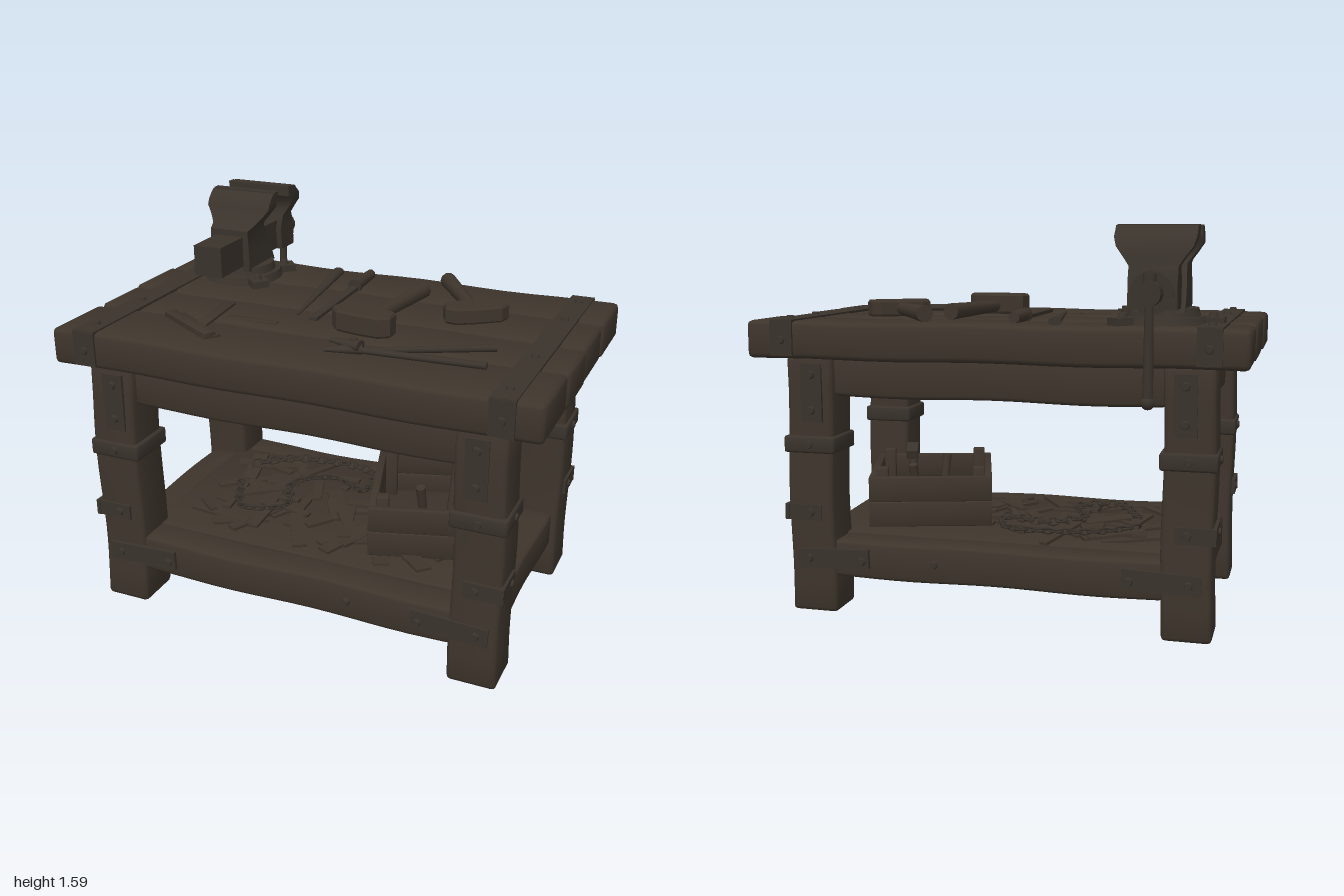
import * as THREE from 'three';
import { toCreasedNormals } from 'three/addons/utils/BufferGeometryUtils.js';

const wood = new THREE.MeshStandardMaterial({ color: 0x3e352c });
const iron = new THREE.MeshStandardMaterial({ color: 0x3a332c });
wood.name = 'dark wood';
iron.name = 'dark iron';

const TOP = 1.213, SHELF = 0.315, MID = 0.1;

// Chamfered, slightly uneven timber; the long axis gets extra segments
function timberGeometry(size, r, wobble, phase) {
  const long = size.indexOf(Math.max(...size));
  const n = size.map((s, i) => (i === long && wobble ? 16 : 3));
  const g = new THREE.BoxGeometry(...size, ...n);
  const p = g.attributes.position;
  for (let v = 0; v < p.count; v++) {
    const a = [p.getX(v), p.getY(v), p.getZ(v)];
    const off = a.map((c, i) => {
      const h = size[i] / 2, row = Math.round((c / size[i] + 0.5) * n[i]);
      if (row === 1) a[i] = r - h;
      else if (row === n[i] - 1) a[i] = h - r;
      else a[i] = THREE.MathUtils.clamp(c, r - h, h - r);
      return row === 0 ? -r : row === n[i] ? r : 0;
    });
    const len = Math.hypot(...off) || 1;
    off.forEach((o, i) => { a[i] += (o * r) / len; });
    const t = a[long];
    a.forEach((c, i) => {
      if (i !== long) a[i] += wobble * Math.sin(t * 8 + phase + i * 2 + Math.sign(c) * 1.3) * Math.sign(c);
    });
    p.setXYZ(v, ...a);
  }
  return toCreasedNormals(g, 0.9);
}

export function createModel() {
  const root = new THREE.Group();
  root.name = 'workbench';
  let seed = 7;
  const rand = () => (seed = (seed * 16807) % 2147483647) / 2147483647;

  const add = (name, geo, mat, pos, parent = root) => {
    const m = new THREE.Mesh(geo, mat);
    m.name = name;
    m.position.set(...pos);
    parent.add(m);
    return m;
  };
  const timber = (name, size, pos, r = 0.015, wobble = 0.004, parent = root) =>
    add(name, timberGeometry(size, r, wobble, pos[0] * 3 + pos[2] * 7), wood, pos, parent);
  const plate = (name, size, pos, parent = root) => add(name, new THREE.BoxGeometry(...size), iron, pos, parent);
  // Bolt head standing on a surface point, facing along a direction
  const UP = new THREE.Vector3(0, 1, 0);
  const boltGeo = new THREE.CylinderGeometry(0.014, 0.021, 0.022, 8);
  const bolt = (pos, dir = [0, 1, 0]) =>
    add('bolt', boltGeo, iron, pos).quaternion.setFromUnitVectors(UP, new THREE.Vector3(...dir));
  // Group lying on a surface, its local x running from a to b (x, z pairs)
  const along = (name, a, b, y) => {
    const g = new THREE.Group();
    g.name = name;
    g.position.set((a[0] + b[0]) / 2, y, (a[1] + b[1]) / 2);
    g.rotation.y = Math.atan2(a[1] - b[1], b[0] - a[0]);
    g.userData.length = Math.hypot(b[0] - a[0], b[1] - a[1]);
    root.add(g);
    return g;
  };

  // Table top planks
  [[-0.514, -0.218], [-0.212, 0.077], [0.085, 0.348], [0.356, 0.676]].forEach(([a, b], i) =>
    timber('topPlank', [1.99, 0.15, b - a], [i % 2 ? -0.003 : 0.003, 1.138, (a + b) / 2], 0.02, 0.003));

  for (const sx of [-1, 1]) {
    // Iron strap folded over each end of the top
    plate('topStrap', [0.095, 0.012, 1.2], [sx * 0.845, TOP + 0.002, 0.081]);
    for (const s of [-1, 1]) {
      plate('topStrapEnd', [0.095, 0.14, 0.012], [sx * 0.845, 1.147, 0.081 + s * 0.599]);
      bolt([sx * 0.845, 1.14, 0.081 + s * 0.604], [0, 0, s]);
    }
    for (const z of [-0.43, -0.19, 0.26, 0.59]) bolt([sx * 0.845, TOP + 0.009, z]);

    // Side rails
    timber('sideApron', [0.12, 0.165, 0.72], [sx * 0.77, 0.98, MID]);
    timber('sideStretcher', [0.13, 0.15, 0.72], [sx * 0.77, 0.235, MID]);

    for (const sz of [-1, 1]) {
      const x = sx * 0.77, z = MID + sz * 0.442, out = z + sz * 0.1, ox = x + sx * 0.103;
      timber('leg', [0.197, 1.07, 0.197], [x, 0.535, z], 0.018, 0.004);
      // Full band and corner bracket
      timber('legBand', [0.221, 0.07, 0.221], [x, 0.707, z], 0.01, 0).material = iron;
      plate('legBracketFront', [0.16, 0.065, 0.016], [x + sx * 0.032, 0.425, out]);
      plate('legBracketSide', [0.016, 0.065, 0.16], [ox, 0.425, z + sz * 0.032]);
      for (const y of [0.707, 0.425]) {
        bolt([x, y, out + sz * 0.009], [0, 0, sz]);
        bolt([ox + sx * 0.006, y, z], [sx, 0, 0]);
      }
      // Upright plate below the top
      plate('legTopPlate', [0.09, 0.24, 0.016], [sx * 0.755, 0.92, out]);
      for (const y of [0.85, 0.995]) bolt([sx * 0.755, y, out + sz * 0.009], [0, 0, sz]);
      // Plate joining leg and stretcher
      plate('stretcherPlate', [0.31, 0.08, 0.016], [sx * 0.675, 0.235, out]).rotation.z = sx * -0.04;
      for (const bx of [0.55, 0.78]) bolt([sx * bx, 0.232, out + sz * 0.009], [0, 0, sz]);
    }
  }

  // Long rails front and back
  for (const sz of [-1, 1]) {
    timber('longApron', [1.36, 0.165, 0.12], [0, 0.987, MID + sz * 0.45]);
    timber('longStretcher', [1.36, 0.155, 0.14], [0, 0.232, MID + sz * 0.46]);
    bolt([0.245, 0.235, MID + sz * 0.534], [0, 0, sz]);
  }

  // Shelf
  timber('shelf', [1.42, 0.12, 0.8], [0, SHELF - 0.06, MID], 0.006, 0);

  // Offcuts scattered over the shelf
  for (let i = 0; i < 62; i++) {
    const len = 0.1 + rand() * 0.2;
    const m = add('offcut', new THREE.BoxGeometry(len, 0.012, 0.03 + rand() * 0.04), wood,
      [-0.55 + rand() * 1.05, SHELF + 0.006 + rand() * 0.02, -0.2 + rand() * 0.58]);
    m.rotation.set((rand() - 0.5) * 0.1, rand() * Math.PI, (rand() - 0.5) * 0.12);
  }
  // Chain winding across the offcuts
  const chain = new THREE.CatmullRomCurve3([
    [-0.5, 0.1], [-0.38, 0.3], [-0.22, 0.22], [-0.28, 0.02], [-0.14, -0.1], [0.04, -0.04], [0.0, -0.22],
    [-0.35, -0.22], [-0.52, -0.1]].map(([x, z]) => new THREE.Vector3(x, SHELF + 0.045, z)));
  const linkGeo = new THREE.TorusGeometry(0.016, 0.005, 5, 10).scale(1.5, 1, 1);
  for (let i = 0; i < 48; i++) {
    const t = chain.getTangentAt(i / 47), p = chain.getPointAt(i / 47);
    const link = add('chainLink', linkGeo, iron, p.toArray());
    link.rotation.order = 'YXZ';
    link.rotation.set(i % 2 ? 0.6 : Math.PI / 2, Math.atan2(-t.z, t.x), 0);
  }

  // Open crate with tools standing in it
  const crate = new THREE.Group();
  crate.name = 'crate';
  crate.position.set(0.419, SHELF, 0.077);
  crate.rotation.y = 0.291;
  root.add(crate);
  timber('crateFloor', [0.5, 0.025, 0.54], [0, 0.028, 0], 0.004, 0, crate);
  for (const s of [-1, 1]) {
    for (const y of [0.069, 0.176]) {
      timber('crateEnd', [0.52, 0.106, 0.03], [0, y, s * 0.265], 0.003, 0, crate);
      timber('crateSide', [0.03, 0.106, 0.5], [s * 0.245, y, 0], 0.003, 0, crate);
    }
    for (const t of [-1, 1])
      timber('cratePost', [0.05, 0.25, 0.05], [s * 0.205, 0.138, t * 0.225], 0.005, 0, crate);
  }
  [[-0.05, 0.1, 0.2], [0.07, -0.1, -0.2], [0.1, 0.15, 0.15]].forEach(([x, z, tilt]) => {
    const tool = add('crateToolHandle', new THREE.CylinderGeometry(0.02, 0.016, 0.22, 8), wood, [x, 0.145, z], crate);
    tool.rotation.set(tilt, 0, tilt * 0.5);
  });
  const crateHead = add('crateHammerHead', new THREE.BoxGeometry(0.05, 0.04, 0.1), iron, [0.1, 0.262, 0.165], crate);
  crateHead.rotation.x = -0.25;

  // Bench vise
  const vise = new THREE.Group();
  vise.name = 'vise';
  vise.position.set(-0.643, 0, 0);
  root.add(vise);
  const cyl = (name, r0, r1, len, pos, sides = 14) =>
    add(name, new THREE.CylinderGeometry(r0, r1, len, sides), iron, pos, vise);
  cyl('viseBase', 0.165, 0.175, 0.035, [0, TOP + 0.015, -0.26], 24);
  cyl('viseTurntable', 0.135, 0.145, 0.04, [0, TOP + 0.045, -0.26], 24);
  for (const a of [0.75, -0.75, Math.PI]) {
    const x = Math.cos(a) * 0.19, z = -0.26 + Math.sin(a) * 0.19;
    plate('viseLug', [0.09, 0.03, 0.075], [x, TOP + 0.015, z], vise).rotation.y = -a;
    add('viseLugBolt', boltGeo, iron, [x, TOP + 0.038, z], vise);
  }
  plate('viseSlide', [0.13, 0.13, 0.53], [0, 1.353, -0.213], vise);
  // Jaws: stacked sections of height, far and near z, half width
  const jaw = (name, rows) => {
    const n = rows.length - 1;
    const g = new THREE.BoxGeometry(1, 1, 1, 1, n, 1);
    const p = g.attributes.position;
    for (let i = 0; i < p.count; i++) {
      const [y, near, far, half] = rows[Math.round((p.getY(i) + 0.5) * n)];
      p.setXYZ(i, Math.sign(p.getX(i)) * half, y, p.getZ(i) > 0 ? near : far);
    }
    add(name, toCreasedNormals(g, 0.7), iron, [0, 0, 0], vise);
  };
  jaw('fixedJaw', [[1.265, -0.14, -0.38, 0.095], [1.34, -0.14, -0.345, 0.095], [1.445, -0.14, -0.295, 0.09],
    [1.46, -0.18, -0.285, 0.1], [1.49, -0.21, -0.288, 0.125], [1.525, -0.228, -0.3, 0.15],
    [1.55, -0.24, -0.315, 0.15], [1.575, -0.265, -0.315, 0.15], [1.585, -0.28, -0.315, 0.15]]);
  jaw('movingJaw', [[1.285, -0.47, -0.585, 0.09], [1.38, -0.46, -0.588, 0.09], [1.44, -0.485, -0.568, 0.09],
    [1.47, -0.493, -0.563, 0.11], [1.51, -0.482, -0.553, 0.14], [1.545, -0.44, -0.535, 0.15],
    [1.57, -0.435, -0.505, 0.15], [1.585, -0.435, -0.49, 0.15]]);
  for (const z of [-0.307, -0.443]) plate('jawFace', [0.3, 0.045, 0.036], [0, 1.567, z], vise);
  cyl('screwCollar', 0.075, 0.08, 0.05, [0, 1.345, -0.59]).rotation.x = Math.PI / 2;
  cyl('screwEnd', 0.045, 0.045, 0.13, [0, 1.345, -0.635]).rotation.x = Math.PI / 2;
  cyl('viseHandle', 0.015, 0.02, 0.46, [0, 1.18, -0.658], 10);
  cyl('handleTopKnob', 0.024, 0.024, 0.028, [0, 1.4, -0.658], 10);
  add('handleKnob', new THREE.SphereGeometry(0.026, 12, 8), iron, [0, 0.958, -0.658], vise);

  // Rod lying along a group's local x axis
  const rod = (name, r0, r1, len, x, y, mat, g) => {
    const m = add(name, new THREE.CylinderGeometry(r1, r0, len, 10), mat, [x, y, 0], g);
    m.rotation.z = -Math.PI / 2;
    return m;
  };

  // Mallets, handle end to head centre
  [[[0.22, -0.26], [0.15, 0.23], 0.088], [[0.27, -0.43], [0.51, -0.07], 0.07]].forEach(([a, b, h]) => {
    const g = along('mallet', a, b, TOP), L = g.userData.length;
    rod('malletHandle', 0.034, 0.024, L, 0, 0.034, wood, g);
    const s = new THREE.Shape([[-0.045, -0.09], [-0.03, -0.12], [0.02, -0.125], [0.05, -0.09], [0.055, 0], [0.05, 0.09],
      [0.02, 0.125], [-0.03, 0.12], [-0.045, 0.09]].map(([x, z]) => new THREE.Vector2(x, z)));
    const geo = new THREE.ExtrudeGeometry(s, { depth: h - 0.02, bevelThickness: 0.01, bevelSize: 0.006, bevelSegments: 1 });
    geo.rotateX(-Math.PI / 2);
    add('malletHead', geo, wood, [L / 2, 0.01, 0], g);
  });

  // Tapered file
  const file = along('file', [-0.25, -0.43], [-0.16, 0.18], TOP + 0.012);
  rod('fileBlade', 0.026, 0.007, file.userData.length, 0, 0, iron, file).scale.x = 0.7;

  // Chisel
  const chisel = along('chisel', [-0.085, -0.41], [-0.075, 0.22], TOP + 0.024);
  rod('chiselHandle', 0.022, 0.027, 0.17, -0.23, 0, wood, chisel);
  rod('chiselCollar', 0.03, 0.03, 0.025, -0.135, 0, iron, chisel);
  plate('chiselBlade', [0.44, 0.014, 0.036], [0.095, -0.008, 0], chisel);

  // Square and wooden rules
  [['squareStock', [-0.49, 0.15], [-0.465, 0.44], 0.055, 0.012], ['squareBlade', [-0.42, 0.285], [-0.2, 0.285], 0.035, 0.005],
    ['woodRule', [-0.64, 0.37], [-0.36, 0.54], 0.05, 0.024], ['thinRule', [-0.6, 0.35], [-0.34, 0.52], 0.03, 0.012]]
    .forEach(([name, a, b, w, h]) => {
      const g = along(name, a, b, TOP + h / 2);
      timber(name, [g.userData.length, h, w], [0, 0, 0], 0.002, 0, g);
    });

  // Tongs
  [[[0.22, 0.47], [0.69, 0.235]], [[0.22, 0.46], [0.71, 0.425]]].forEach(([a, b], i) => {
    const g = along('tongsHandle', a, b, TOP + 0.012);
    rod('tongsHandle', 0.012, 0.014, g.userData.length, 0, 0, iron, g);
    const j = along('tongsJaw', [0.11, i ? 0.455 : 0.52], [0.24, i ? 0.475 : 0.46], TOP + 0.02 + i * 0.016);
    rod('tongsJaw', 0.012, 0.03, j.userData.length, 0, 0, iron, j).scale.x = 0.7;
  });
  bolt([0.21, TOP + 0.05, 0.467]);

  return root;
}
